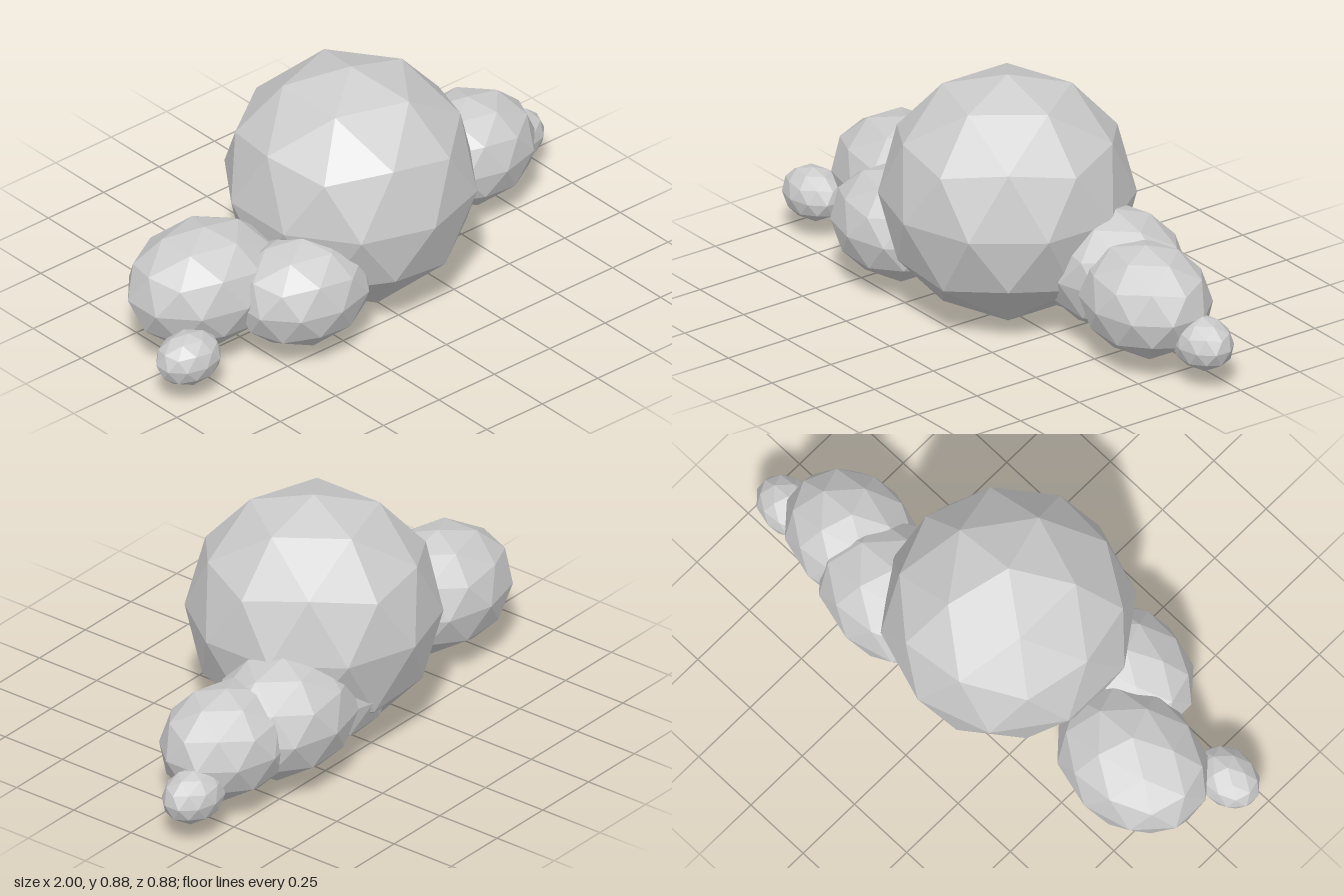
import * as THREE from 'three';

// Faceted ball with a corner at the top and an upper-ring corner toward +x
function ballGeometry() {
  const g = new THREE.IcosahedronGeometry(1, 1);
  g.rotateZ(-Math.atan(2 / (1 + Math.sqrt(5))));
  return g;
}

export function createModel() {
  const group = new THREE.Group();
  group.name = 'cloud';
  const grey = new THREE.MeshStandardMaterial({ color: 0xcccccc, flatShading: true });
  grey.name = 'light grey';
  const ball = ballGeometry();

  // name, centre, radii
  const puffs = [
    ['centrePuff', [0, 0.4425, 0], [0.4425, 0.4425, 0.4425]],
    // chain toward +x
    ['leftInnerPuff', [0.13, 0.25, -0.14], [0.275, 0.207, 0.222]],
    ['leftRearPuff', [0.38, 0.257, -0.17], [0.295, 0.218, 0.235]],
    ['leftOuterPuff', [0.63, 0.244, -0.121], [0.26, 0.2, 0.213]],
    ['leftTipPuff', [0.88, 0.157, -0.177], [0.126, 0.095, 0.098]],
    // chain toward -x
    ['rightInnerPuff', [-0.13, 0.25, 0.05], [0.275, 0.207, 0.222]],
    ['rightFrontPuff', [-0.38, 0.24, 0.187], [0.26, 0.197, 0.212]],
    ['rightOuterPuff', [-0.63, 0.262, -0.037], [0.295, 0.218, 0.235]],
    ['rightTipPuff', [-0.88, 0.157, 0.172], [0.126, 0.095, 0.098]],
  ];
  for (const [name, centre, radii] of puffs) {
    const puff = new THREE.Mesh(ball, grey);
    puff.name = name;
    puff.position.set(...centre);
    puff.scale.set(...radii);
    group.add(puff);
  }
  return group;
}
